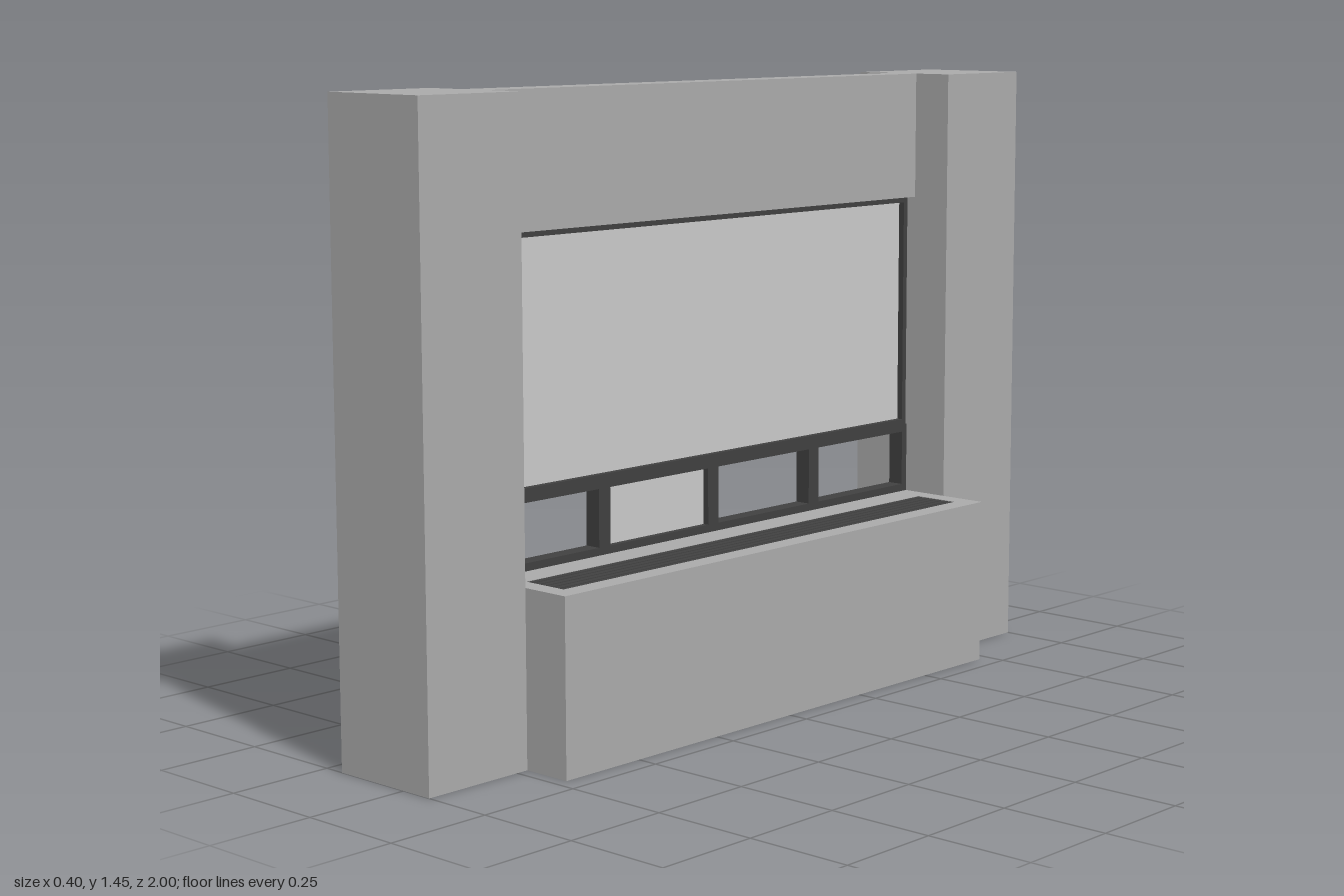
import * as THREE from 'three';

export function createModel() {
  const model = new THREE.Group();
  const material = (name, color) => {
    const m = new THREE.MeshStandardMaterial({ color });
    m.name = name;
    return m;
  };
  const wall = material('wall grey', 0xaaaaaa);
  const pane = material('pane grey', 0xc8c8c8);
  const dark = material('frame charcoal', 0x404040);

  // Box given by its limits on each axis
  const box = (parent, name, mat, [x0, x1], [y0, y1], [z0, z1]) => {
    const mesh = new THREE.Mesh(new THREE.BoxGeometry(x1 - x0, y1 - y0, z1 - z0), mat);
    mesh.position.set((x0 + x1) / 2, (y0 + y1) / 2, (z0 + z1) / 2);
    mesh.name = name;
    parent.add(mesh);
  };

  // Rectangular window frame in the wall plane, with an optional pane
  const windowUnit = (name, [y0, y1], [z0, z1], t, filled) => {
    const group = new THREE.Group();
    group.name = name;
    const shape = new THREE.Shape();
    shape.moveTo(-z1, y0).lineTo(-z0, y0).lineTo(-z0, y1).lineTo(-z1, y1).closePath();
    const hole = new THREE.Path();
    hole.moveTo(-z1 + t, y0 + t).lineTo(-z1 + t, y1 - t).lineTo(-z0 - t, y1 - t).lineTo(-z0 - t, y0 + t).closePath();
    shape.holes.push(hole);
    const frame = new THREE.Mesh(
      new THREE.ExtrudeGeometry(shape, { depth: 0.04, bevelEnabled: false }), dark);
    frame.rotation.y = Math.PI / 2;
    frame.position.x = -0.08;
    frame.name = name + 'Frame';
    group.add(frame);
    if (filled) box(group, name + 'Pane', pane, [-0.065, -0.055], [y0 + t, y1 - t], [z0 + t, z1 - t]);
    model.add(group);
  };

  // Pillars at both ends
  box(model, 'backPillar', wall, [-0.2, 0.08], [0, 1.45], [-1, -0.72]);
  box(model, 'frontPillar', wall, [-0.2, 0.08], [0, 1.45], [0.72, 1]);

  // Wall above and below the windows
  const span = [-0.72, 0.72];
  box(model, 'lintel', wall, [-0.1, -0.02], [1.145, 1.45], span);
  box(model, 'lowerWall', wall, [-0.1, -0.02], [0, 0.4], span);

  // Large window and a row of four small ones, one of them filled
  windowUnit('mainWindow', [0.57, 1.145], [-0.715, 0.715], 0.014, true);
  for (let i = 0; i < 4; i++) {
    const z = -0.72 + i * 0.36;
    windowUnit('smallWindow' + (i + 1), [0.4, 0.57], [z, z + 0.36], 0.018, i === 2);
  }

  // Cabinet with a recessed top
  const cabinet = new THREE.Group();
  cabinet.name = 'cabinet';
  model.add(cabinet);
  box(cabinet, 'cabinetBody', wall, [-0.02, 0.2], [0, 0.38], span);
  const rim = [0.38, 0.4];
  box(cabinet, 'rimInner', wall, [-0.02, 0.035], rim, span);
  box(cabinet, 'rimOuter', wall, [0.15, 0.2], rim, span);
  box(cabinet, 'rimBackEnd', wall, [0.035, 0.15], rim, [-0.72, -0.675]);
  box(cabinet, 'rimFrontEnd', wall, [0.035, 0.15], rim, [0.675, 0.72]);

  // Ventilation grille of long slats in the recess
  box(cabinet, 'grilleFloor', dark, [0.035, 0.15], [0.38, 0.384], [-0.675, 0.675]);
  for (let i = 0; i < 6; i++) {
    const x = 0.035 + i * 0.02;
    box(cabinet, 'grilleSlat' + (i + 1), dark, [x, x + 0.015], [0.384, 0.399], [-0.675, 0.675]);
  }

  return model;
}
